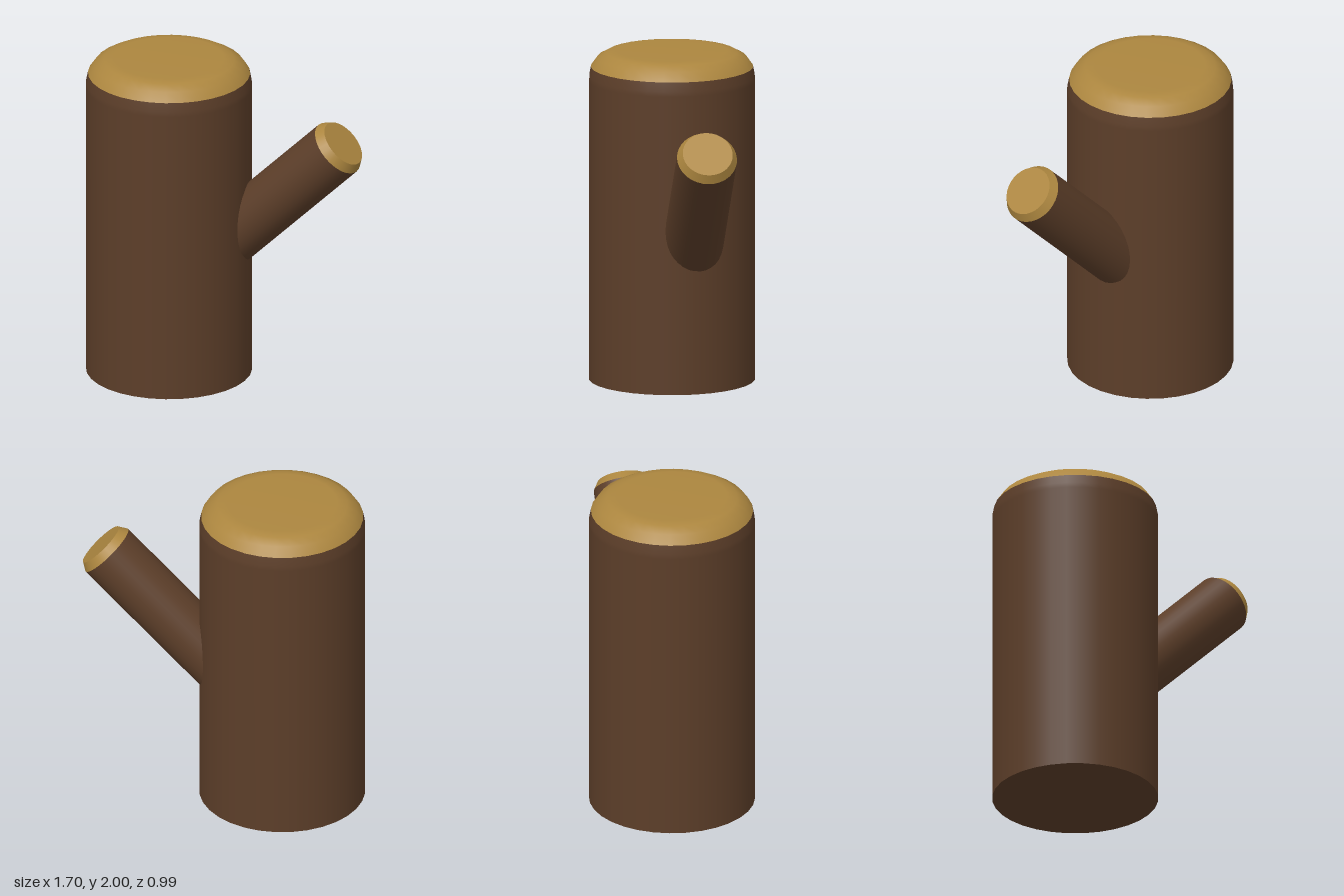
import * as THREE from 'three';

const bark = new THREE.MeshStandardMaterial({ color: 0x5c3e29 });
const wood = new THREE.MeshStandardMaterial({ color: 0xac863f });

// Turned part from a [radius, height] profile, listed from bottom to top
function turned(name, profile, segments, material) {
  const points = profile.map(([r, y]) => new THREE.Vector2(r, y));
  const mesh = new THREE.Mesh(new THREE.LatheGeometry(points, segments), material);
  mesh.name = name;
  return mesh;
}

export function createModel() {
  const model = new THREE.Group();
  model.name = 'treeStump';

  // Upright trunk with a rounded, bare-wood top
  const trunk = new THREE.Group();
  trunk.name = 'trunk';
  trunk.position.x = -0.353;
  trunk.add(
    turned('trunkBase', [[0, 0], [0.497, 0]], 32, bark),
    turned('trunkBark', [[0.497, 0], [0.497, 1.82], [0.496, 1.85], [0.485, 1.905]], 32, bark),
    turned('trunkTop', [[0.485, 1.905], [0.446, 1.96], [0.39, 1.99], [0.33, 2], [0, 2]], 32, wood)
  );
  model.add(trunk);

  // Cut side branch, leaning out of the trunk at about 45 degrees
  const branch = new THREE.Group();
  branch.name = 'branch';
  branch.position.set(0.14, 1, 0);
  branch.quaternion.setFromUnitVectors(
    new THREE.Vector3(0, 1, 0),
    new THREE.Vector3(1, 0.985, 0.168).normalize()
  );
  branch.add(
    turned('branchBark', [[0, -0.3], [0.18, -0.3], [0.18, -0.29], [0.18, 0.8]], 32, bark),
    turned('branchBevel', [[0.18, 0.8], [0.15, 0.851]], 32, wood),
    turned('branchCut', [[0.15, 0.851], [0, 0.851]], 32, wood)
  );
  model.add(branch);

  return model;
}
